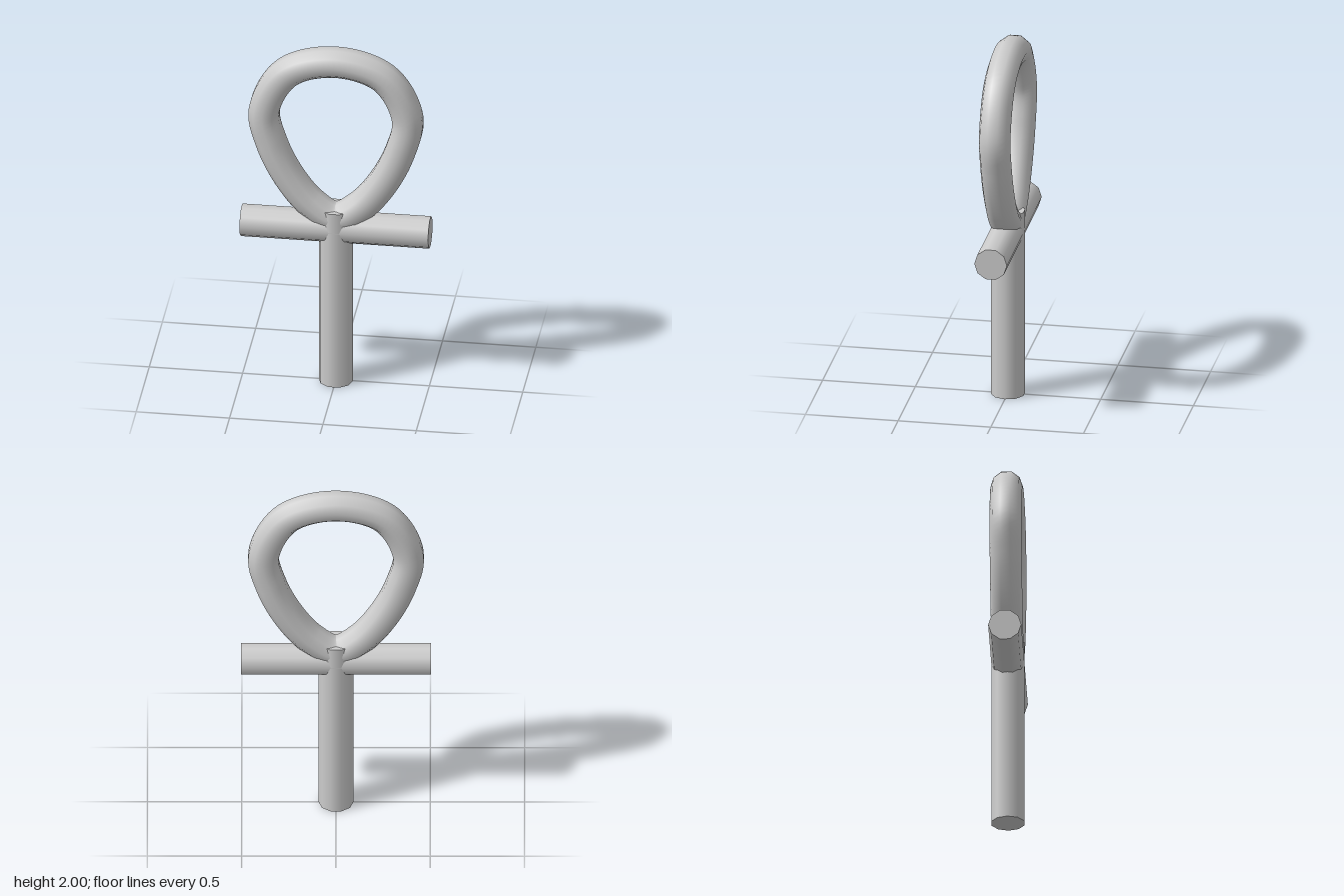
import * as THREE from 'three';

export function createModel() {
  const model = new THREE.Group();
  model.name = 'loopedCross';
  const grey = new THREE.MeshStandardMaterial({ color: 0xcccccc });
  grey.name = 'plain grey';
  const SIDES = 10;

  const add = (name, geometry) => {
    const mesh = new THREE.Mesh(geometry, grey);
    mesh.name = name;
    model.add(mesh);
    return mesh;
  };

  // Upright post, turned so its corners point along x
  const post = add('post', new THREE.CylinderGeometry(0.092, 0.092, 1.045, SIDES));
  post.rotation.y = Math.PI / SIDES;
  post.position.y = 1.045 / 2;

  // Horizontal crossbar
  const bar = add('crossbar', new THREE.CylinderGeometry(0.088, 0.088, 1.01, SIDES));
  bar.rotation.z = Math.PI / 2;
  bar.position.y = 0.928;

  // Teardrop loop: right half of the centre line, mirrored to the left
  const half = [[0.13, 1.06], [0.25, 1.21], [0.345, 1.41], [0.383, 1.61], [0.26, 1.84]];
  const points = [
    [0, 0.985],
    ...half,
    [0, 1.919],
    ...half.map(([x, y]) => [-x, y]).reverse(),
  ].map(([x, y]) => new THREE.Vector3(x, y, 0));
  const path = new THREE.CatmullRomCurve3(points, true);
  add('loop', new THREE.TubeGeometry(path, 96, 0.085, SIDES, true));

  return model;
}
